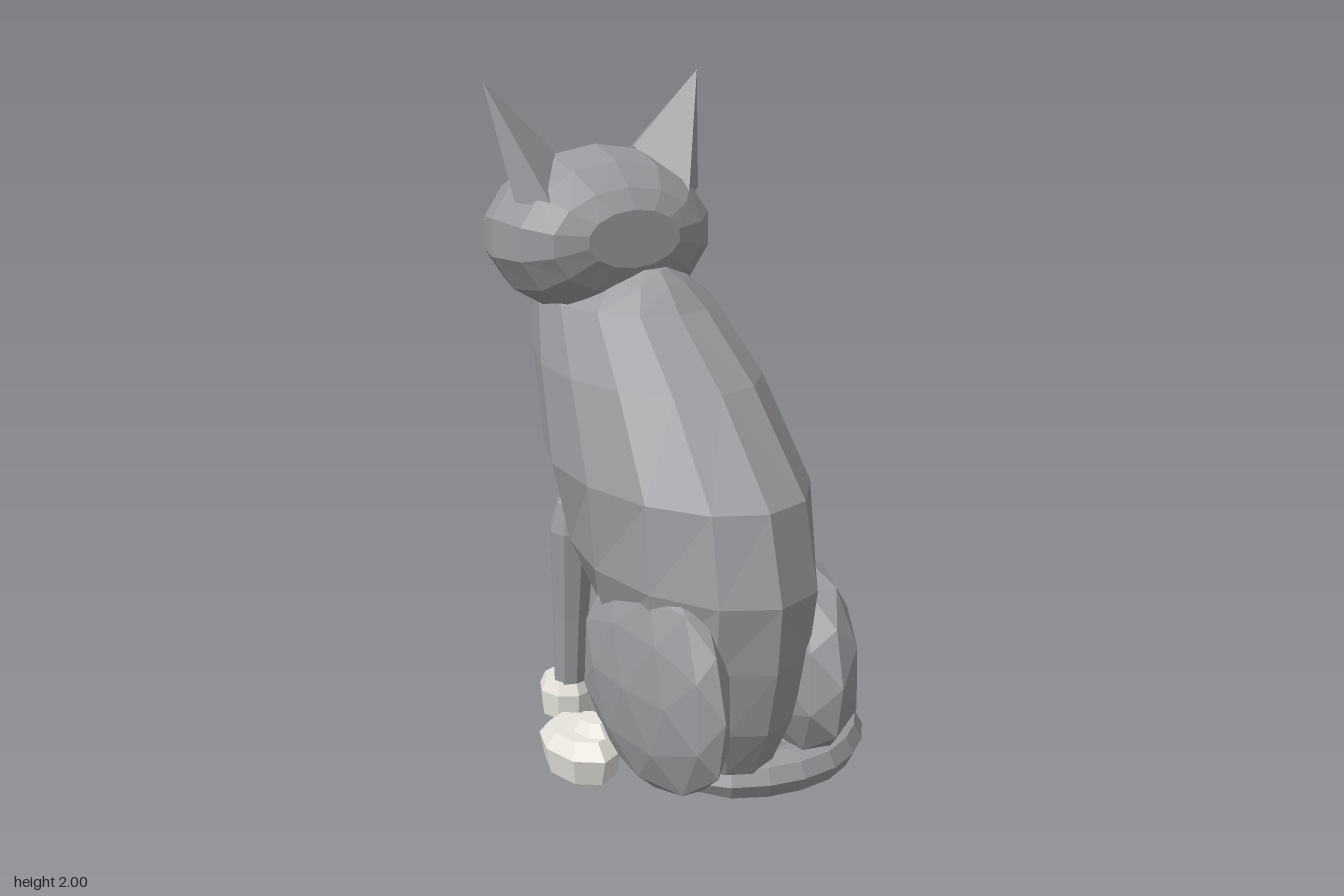
import * as THREE from 'three';

const mat = (name, color, extra = {}) => {
  const m = new THREE.MeshStandardMaterial({ color, flatShading: true, ...extra });
  m.name = name;
  return m;
};

// Flat-shaded skin over rings; isSecond(centroid, band, column) picks the second material
function loft(rings, isSecond, materials) {
  const n = rings[0].length, sets = [[], []];
  const tri = (a, b, c, band, col) => {
    const mid = a.clone().add(b).add(c).divideScalar(3);
    sets[isSecond(mid, band, Math.min(col, n - 1 - col)) ? 1 : 0].push(a, b, c);
  };
  for (let i = 0; i < rings.length - 1; i++) {
    for (let j = 0; j < n; j++) {
      const k = (j + 1) % n;
      const [a, b, c, d] = [rings[i][j], rings[i + 1][j], rings[i + 1][k], rings[i][k]];
      if (j < n / 2) { tri(a, b, c, i, j); tri(a, c, d, i, j); } else { tri(b, c, d, i, j); tri(a, b, d, i, j); }
    }
  }
  const cap = (ring, band, flip) => {
    const mid = ring.reduce((s, p) => s.add(p), new THREE.Vector3()).divideScalar(n);
    ring.forEach((p, j) => {
      const q = ring[(j + 1) % n];
      flip ? tri(mid, q, p, band, j) : tri(mid, p, q, band, j);
    });
  };
  cap(rings[0], 0, false);
  cap(rings[rings.length - 1], rings.length - 1, true);
  const geo = new THREE.BufferGeometry().setFromPoints([...sets[0], ...sets[1]]);
  geo.addGroup(0, sets[0].length, 0);
  geo.addGroup(sets[0].length, sets[1].length, 1);
  geo.computeVertexNormals();
  return new THREE.Mesh(geo, materials);
}

// Ring of 14 points; the third point from the front lies at the given angle
const ring = (edge, point) => Array.from({ length: 14 }, (_, j) => {
  const h = Math.min(j, 14 - j);
  const deg = h < 3 ? edge * h / 2 : edge + (180 - edge) * (h - 2) / 5;
  const a = deg * Math.PI / 180;
  return point((j > 7 ? -1 : 1) * Math.sin(a), Math.cos(a));
});

export function createModel() {
  const cat = new THREE.Group();
  cat.name = 'sittingCat';
  const fur = mat('greyFur', 0x9b9a9e);
  const white = mat('whiteFur', 0xe6e4dc);
  const pink = mat('pinkSkin', 0xd59a9a, { side: THREE.DoubleSide });
  const dark = mat('darkLine', 0x26262a);
  const iris = mat('paleEye', 0xb4bab4);
  const V = (x, y, z) => new THREE.Vector3(x, y, z);
  const add = (name, geo, material, pos = [0, 0, 0], parent = cat) => {
    const m = new THREE.Mesh(geo, material);
    m.name = name;
    m.position.set(...pos);
    parent.add(m);
    return m;
  };
  const cx = -0.06, hx = -0.13; // centre lines of body and head

  // Body: y, front z, back z, half width, angle of the chest patch edge
  const body = loft([
    [0.10, 0.02, 0.56, 0.16, 45], [0.25, -0.10, 0.64, 0.21, 30], [0.45, -0.20, 0.69, 0.26, 5],
    [0.65, -0.32, 0.71, 0.31, 28], [0.90, -0.48, 0.64, 0.332, 47], [1.17, -0.56, 0.37, 0.30, 51],
    [1.35, -0.60, 0.12, 0.25, 51], [1.42, -0.57, 0.05, 0.17, 53], [1.46, -0.45, 0.0, 0.08, 53],
  ].map(([y, f, b, w, edge]) => ring(edge, (s, c) => V(cx + w * s, y, (f + b) / 2 - (b - f) / 2 * c))),
  (p, band, col) => band >= 2 && col < 2, [fur, white]);
  body.name = 'body';
  cat.add(body);

  // Head: z, half width, bottom y, top y
  const head = loft([
    [-0.685, 0.05, 1.37, 1.455], [-0.63, 0.13, 1.345, 1.50], [-0.54, 0.22, 1.34, 1.645],
    [-0.43, 0.305, 1.31, 1.755], [-0.28, 0.345, 1.29, 1.80], [-0.14, 0.315, 1.32, 1.765],
    [-0.06, 0.245, 1.39, 1.70], [-0.02, 0.15, 1.47, 1.64],
  ].map(([z, w, lo, hi]) => ring(51, (s, c) => V(hx + w * s, (lo + hi) / 2 + (hi - lo) / 2 * c, z))),
  p => (p.z < -0.56 && p.y < 1.465) || p.z < -0.66, [fur, white]);
  head.name = 'head';
  cat.add(head);

  for (const s of [1, -1]) {
    // Muzzle puff
    add('muzzle', new THREE.IcosahedronGeometry(1, 1), white, [hx + s * 0.065, 1.41, -0.605]).scale.set(0.085, 0.075, 0.088);

    // Ear: spike with a pink inner face
    const tip = V(hx + s * 0.35, 2.0, -0.29), inner = V(hx + s * 0.16, 1.765, -0.37);
    const crown = V(hx + s * 0.13, 1.785, -0.28), back = V(hx + s * 0.22, 1.65, -0.1);
    const outer = V(hx + s * 0.3, 1.66, -0.19);
    const faces = [[tip, outer, inner], [tip, inner, crown], [tip, crown, back], [tip, back, outer], [inner, outer, back]];
    const pts = faces.flatMap(f => (s > 0 ? f : [f[0], f[2], f[1]]));
    const earGeo = new THREE.BufferGeometry().setFromPoints(pts);
    earGeo.computeVertexNormals();
    add('ear', earGeo, fur);
    const mid = tip.clone().add(inner).add(outer).divideScalar(3);
    const inset = [tip.clone().lerp(mid, 0.25), outer.clone().lerp(mid, 0.55), inner.clone().lerp(mid, 0.25)]
      .map(p => p.add(V(s * 0.004, 0, -0.005)));
    const innerGeo = new THREE.BufferGeometry().setFromPoints(inset);
    innerGeo.computeVertexNormals();
    add('innerEar', innerGeo, pink);

    // Eye with a narrow upper lid
    const eye = new THREE.Group();
    eye.name = 'eye';
    eye.position.set(hx + s * 0.188, 1.57, -0.542);
    eye.lookAt(hx + s * 0.75, 1.75, -1.4);
    eye.rotateZ(-s * 0.2);
    cat.add(eye);
    add('eyeRim', new THREE.SphereGeometry(1, 10, 6), dark, [0, 0, 0], eye).scale.set(0.064, 0.037, 0.014);
    add('eyeball', new THREE.SphereGeometry(1, 10, 6), iris, [0, -0.003, 0.004], eye).scale.set(0.054, 0.029, 0.018);
    add('pupil', new THREE.SphereGeometry(1, 8, 6), dark, [0, -0.003, 0.017], eye).scale.set(0.011, 0.022, 0.007);
    add('eyelid', new THREE.IcosahedronGeometry(1, 1), fur, [0, 0.036, -0.004], eye).scale.set(0.066, 0.014, 0.022);

    // Mouth line
    const curve = new THREE.QuadraticBezierCurve3(
      V(hx, 1.395, -0.69), V(hx + s * 0.03, 1.35, -0.695), V(hx + s * 0.075, 1.385, -0.69));
    add('mouth', new THREE.TubeGeometry(curve, 6, 0.004, 4), dark);

    // Front leg, pointed at the shoulder, and paw
    const fx = cx + s * 0.18;
    const profile = [[0.05, 0], [0.058, 0.25], [0.074, 0.54], [0.05, 0.63], [0, 0.68]].map(p => new THREE.Vector2(...p));
    const leg = add('frontLeg', new THREE.LatheGeometry(profile, 8), fur, [fx, 0.09, -0.28]);
    leg.rotation.x = 0.07;
    add('frontPaw', new THREE.CylinderGeometry(0.068, 0.085, 0.04, 8), white, [fx, 0.1, -0.305]).scale.z = 1.12;
    add('frontPawBase', new THREE.CylinderGeometry(0.085, 0.078, 0.08, 8), white, [fx, 0.04, -0.305]).scale.z = 1.12;

    // Hind foot, rising towards the leg
    const fz = 0.09, hfx = cx + s * 0.32;
    add('hindFoot', new THREE.CylinderGeometry(0.08, 0.11, 0.045, 8), white, [hfx, 0.1025, fz]).scale.z = 1.55;
    add('hindFootBase', new THREE.CylinderGeometry(0.11, 0.095, 0.08, 8), white, [hfx, 0.04, fz]).scale.z = 1.55;
    add('hindFootTop', new THREE.CylinderGeometry(0.035, 0.06, 0.035, 8), white, [hfx - s * 0.03, 0.14, fz + 0.02]).scale.z = 1.55;
  }

  // Haunches, leaning back at the top and full at the lower rear
  for (const [x, y, rx, ry, turn] of [[0.185, 0.375, 0.145, 0.305, -0.12], [-0.265, 0.35, 0.108, 0.335, 0.08]]) {
    const geo = new THREE.IcosahedronGeometry(1, 1), pos = geo.attributes.position;
    for (let i = 0; i < pos.count; i++) {
      const py = pos.getY(i), pz = pos.getZ(i);
      pos.setZ(i, py > 0 ? pz + 0.22 * py * (1 - Math.abs(pz)) : pz * (1 - 0.12 * py));
    }
    geo.computeVertexNormals();
    const h = add('haunch', geo, fur, [x, y, 0.35]);
    h.scale.set(rx, ry, 0.365);
    h.rotation.y = turn;
  }

  // Nose
  const tri = new THREE.Shape([[-0.05, 0.022], [0, -0.028], [0.05, 0.022]].map(p => new THREE.Vector2(...p)));
  add('nose', new THREE.ExtrudeGeometry(tri, { depth: 0.05, bevelEnabled: false }), pink, [hx, 1.435, -0.707]);
  add('mouthCentre', new THREE.BoxGeometry(0.008, 0.03, 0.016), dark, [hx, 1.4, -0.688]);

  // Tail curled round the side, tapering at both ends
  const path = new THREE.CatmullRomCurve3([
    [-0.24, 0.38], [-0.05, 0.5], [0.16, 0.51], [0.32, 0.4], [0.4, 0.25], [0.37, 0.09], [0.28, 0.0], [0.1, -0.04],
  ].map(([x, z]) => V(x, 0, z)));
  const tailGeo = new THREE.TubeGeometry(path, 14, 0.08, 8), tp = tailGeo.attributes.position;
  const taper = [0.05, 0.7, 0.95];
  for (let i = 0; i < tp.count; i++) {
    const r = Math.floor(i / 9), k = taper[Math.min(r, 14 - r)] ?? 1;
    const c = path.getPointAt(r / 14), p = V(0, 0, 0).fromBufferAttribute(tp, i);
    p.lerpVectors(c, p, k);
    tp.setXYZ(i, p.x, p.y, p.z);
  }
  tailGeo.computeVertexNormals();
  add('tail', tailGeo, fur, [0, 0.066, 0]).scale.y = 0.8;
  return cat;
}
